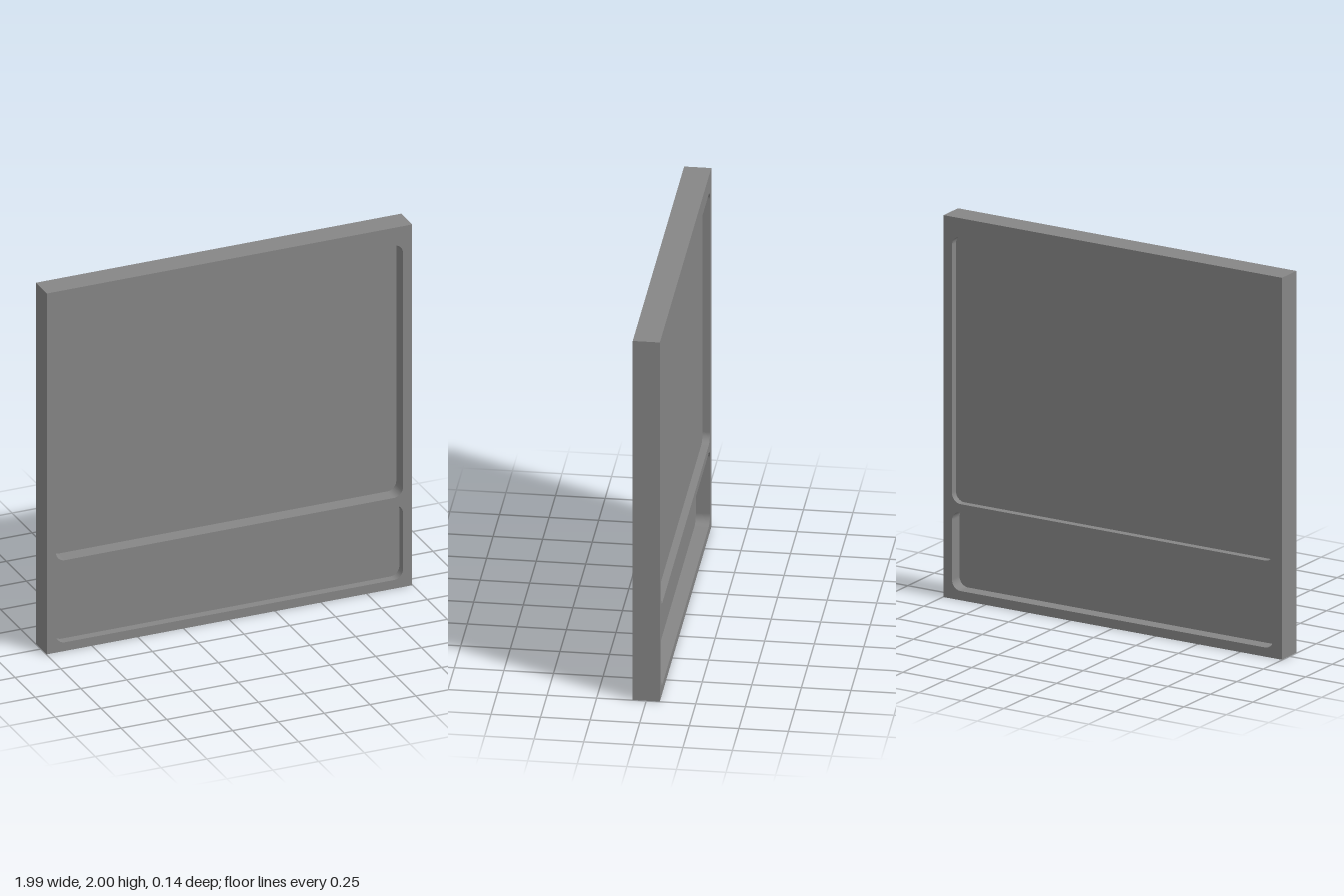
import * as THREE from 'three';

const DEPTH = 0.137;
const HALF_WIDTH = 0.997;
const OPENING = 0.947; // half width of both openings

// Rounded rectangle outline, written into a Shape or Path
function roundedRect(path, x0, y0, x1, y1, r) {
  path.moveTo(x0 + r, y0);
  path.lineTo(x1 - r, y0);
  path.absarc(x1 - r, y0 + r, r, -Math.PI / 2, 0, false);
  path.lineTo(x1, y1 - r);
  path.absarc(x1 - r, y1 - r, r, 0, Math.PI / 2, false);
  path.lineTo(x0 + r, y1);
  path.absarc(x0 + r, y1 - r, r, Math.PI / 2, Math.PI, false);
  path.lineTo(x0, y0 + r);
  path.absarc(x0 + r, y0 + r, r, Math.PI, Math.PI * 1.5, false);
  return path;
}

export function createModel() {
  const group = new THREE.Group();
  group.name = 'window';
  const material = new THREE.MeshStandardMaterial({ color: 0x868686 });

  // Each opening with the front and back z of its pane
  const openings = [
    { name: 'upperPane', y0: 0.503, y1: 1.902, back: -0.031, front: -0.015 },
    { name: 'lowerPane', y0: 0.048, y1: 0.46, back: 0.003, front: 0.023 },
  ];

  // Square frame with two rounded openings
  const outline = new THREE.Shape();
  outline.moveTo(-HALF_WIDTH, 0);
  outline.lineTo(HALF_WIDTH, 0);
  outline.lineTo(HALF_WIDTH, 2);
  outline.lineTo(-HALF_WIDTH, 2);
  outline.closePath();
  for (const o of openings) {
    outline.holes.push(roundedRect(new THREE.Path(), -OPENING, o.y0, OPENING, o.y1, 0.05));
  }
  const frameGeometry = new THREE.ExtrudeGeometry(outline, { depth: DEPTH, bevelEnabled: false, curveSegments: 8 });
  frameGeometry.translate(0, 0, -DEPTH / 2);
  const frame = new THREE.Mesh(frameGeometry, material);
  frame.name = 'frame';
  group.add(frame);

  // Thin panes, set at different depths and seated slightly into the frame
  for (const o of openings) {
    const inset = 0.005;
    const pane = new THREE.Mesh(
      new THREE.BoxGeometry(2 * (OPENING + inset), o.y1 - o.y0 + 2 * inset, o.front - o.back), material);
    pane.position.set(0, (o.y0 + o.y1) / 2, (o.front + o.back) / 2);
    pane.name = o.name;
    group.add(pane);
  }
  return group;
}
